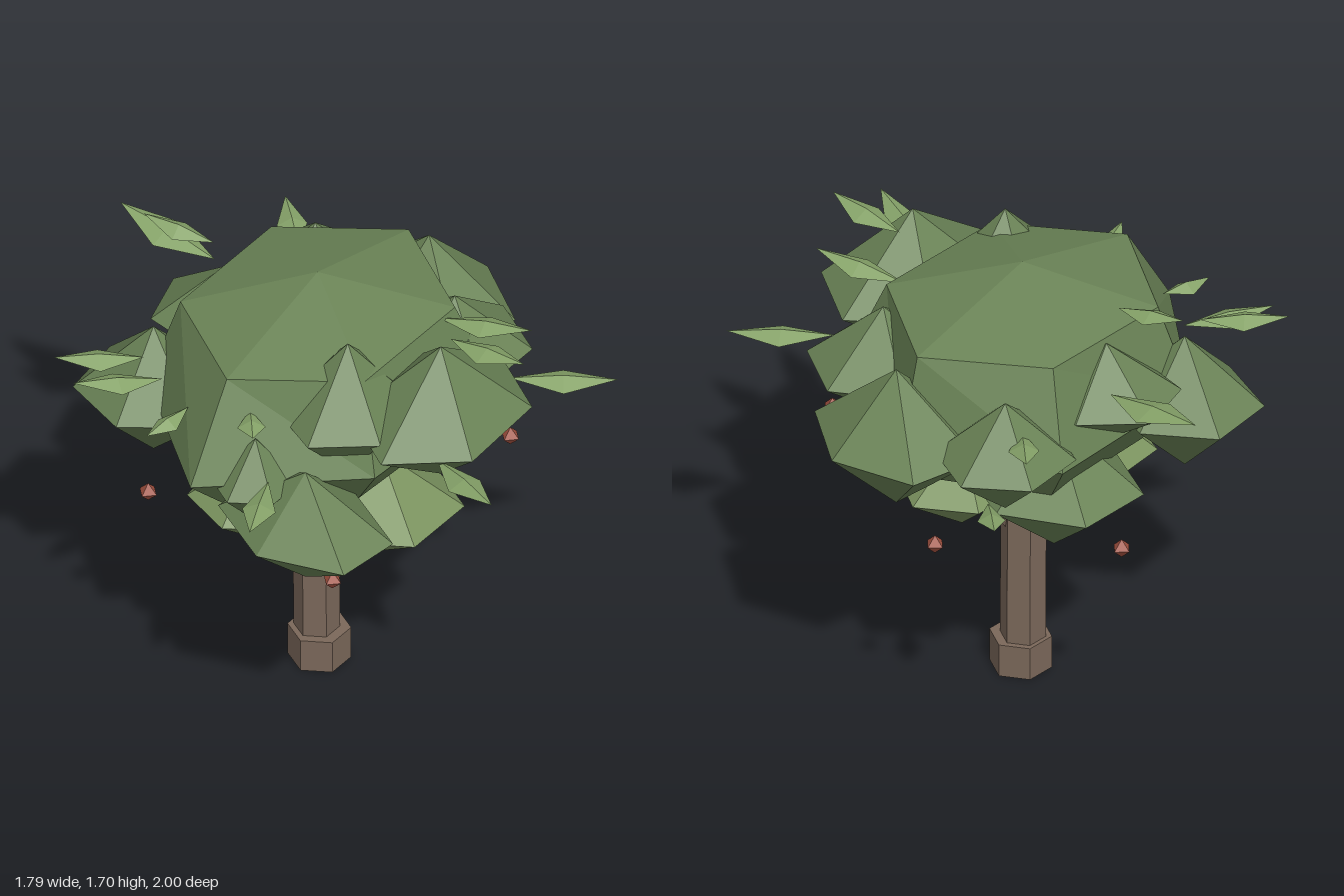
import * as THREE from 'three';

const mat = (color, extra = {}) => new THREE.MeshStandardMaterial({ color, flatShading: true, ...extra });
const V = (a) => new THREE.Vector3(...a);

export function createModel() {
  const tree = new THREE.Group();
  tree.name = 'tree';
  const bark = mat(0x7b685a);
  const foliage = mat(0x6a8356);
  const lightFoliage = mat(0x7b935f);
  const leafMat = mat(0x86a369, { side: THREE.DoubleSide });
  const fruitMat = mat(0xa0503f);

  const add = (name, geo, material, pos = [0, 0, 0], scale = [1, 1, 1], turn = 0) => {
    const m = new THREE.Mesh(geo, material);
    m.name = name;
    m.position.set(...pos);
    m.scale.set(...scale);
    m.rotation.y = turn;
    tree.add(m);
    return m;
  };

  // Hexagonal cylinder between two points
  const limb = (name, a, b, r0, r1) => {
    const from = V(a), dir = V(b).sub(from);
    const geo = new THREE.CylinderGeometry(r1, r0, dir.length(), 6);
    geo.rotateY(Math.PI / 6);
    const m = add(name, geo, bark, from.addScaledVector(dir, 0.5).toArray());
    m.quaternion.setFromUnitVectors(new THREE.Vector3(0, 1, 0), dir.normalize());
  };

  // Trunk, flared foot and branches
  limb('trunkBase', [0.018, 0, -0.035], [0.018, 0.13, -0.035], 0.113, 0.113);
  limb('trunk', [0.018, 0.12, -0.046], [0.018, 1.05, -0.05], 0.083, 0.083);
  [[-0.25, 0.83, -0.1], [0.22, 0.85, 0.05], [0.1, 0.88, -0.28], [-0.02, 0.85, 0.22]].forEach((end) =>
    limb('branch', [0.018, 0.58, -0.04], end, 0.045, 0.03));

  // Main crown: domed above, shallow below, uneven around its widest ring
  const crown = new THREE.SphereGeometry(1, 6, 4);
  const p = crown.attributes.position;
  const bulge = [0.99, 0.87, 0.93, 0.82, 0.93, 0.88];
  for (let i = 0; i < p.count; i++) {
    const y = p.getY(i);
    const k = y > 0.1 ? 1 : bulge[(i % 7) % 6];
    p.setXYZ(i, p.getX(i) * 0.77 * k, y * (y > 0 ? 0.49 : 0.3), p.getZ(i) * 0.655 * k);
  }
  add('crown', crown, foliage, [0.015, 1.2, -0.04]);

  // Faceted leaf clumps: centre, radii, turn
  const clump = new THREE.SphereGeometry(1, 6, 2);
  const addClumps = (material, list) =>
    list.forEach(([c, r, turn]) => add('leafClump', clump, material, c, r, turn));
  addClumps(foliage, [
    [[-0.03, 1.36, 0.53], [0.385, 0.28, 0.3], 0.05],
    [[-0.51, 1.04, 0.29], [0.255, 0.23, 0.35], -0.12],
    [[0.62, 1.225, 0.005], [0.28, 0.28, 0.345], -0.2],
    [[0.12, 0.93, -0.29], [0.3, 0.265, 0.34], 0],
    [[-0.31, 1.165, -0.52], [0.27, 0.27, 0.29], 0.12],
    [[0.48, 1.25, -0.39], [0.26, 0.22, 0.25], 0.1],
    [[0.37, 1.3, 0.3], [0.29, 0.22, 0.27], 0],
    [[-0.23, 1.38, 0.27], [0.28, 0.28, 0.25], 0.1],
    [[-0.55, 1.18, 0.1], [0.17, 0.18, 0.16], 0],
    [[0.02, 1.33, -0.45], [0.25, 0.2, 0.27], 0.3],
  ]);
  addClumps(lightFoliage, [
    [[0.005, 0.81, 0.24], [0.3, 0.22, 0.3], 0],
    [[0.22, 0.83, 0.06], [0.255, 0.185, 0.23], 0],
    [[-0.26, 0.83, -0.12], [0.22, 0.18, 0.24], 0.1],
  ]);

  // Folded diamond leaf from stem to tip
  const leaf = (a, b, width) => {
    const stem = V(a), tip = V(b), dir = tip.clone().sub(stem);
    const side = new THREE.Vector3(-dir.z, 0, dir.x).normalize().multiplyScalar(width / 2);
    const mid = stem.clone().addScaledVector(dir, 0.5);
    mid.y -= 0.015;
    const ridge = mid.clone();
    ridge.y += 0.03;
    const l = mid.clone().sub(side), r = mid.clone().add(side);
    const geo = new THREE.BufferGeometry().setFromPoints(
      [stem, ridge, l, l, ridge, tip, stem, r, ridge, r, tip, ridge]);
    geo.computeVertexNormals();
    add('leaf', geo, leafMat);
  };
  [
    [[0.14, 1.43, -0.58], [0.15, 1.49, -1.0], 0.17],
    [[-0.03, 1.66, -0.46], [-0.08, 1.7, -0.73], 0.11],
    [[0.45, 1.36, -0.44], [0.63, 1.39, -0.63], 0.11],
    [[0.58, 1.1, -0.4], [0.73, 1.13, -0.57], 0.1],
    [[-0.45, 1.41, -0.46], [-0.66, 1.43, -0.7], 0.13],
    [[-0.45, 1.35, -0.38], [-0.71, 1.4, -0.58], 0.13],
    [[-0.54, 1.36, -0.2], [-0.75, 1.345, -0.23], 0.09],
    [[-0.61, 1.25, 0.2], [-0.9, 1.26, 0.33], 0.12],
    [[-0.23, 1.32, 0.66], [-0.37, 1.355, 1.0], 0.13],
    [[0.07, 1.6, 0.5], [0.07, 1.63, 0.82], 0.13],
    [[0.22, 1.53, 0.34], [0.31, 1.57, 0.68], 0.13],
    [[0.35, 1.28, 0.55], [0.58, 1.27, 0.86], 0.14],
    [[-0.5, 1.43, 0.04], [-0.62, 1.42, 0.14], 0.1],
  ].forEach((args) => leaf(...args));

  // Small hanging fruit
  const fruit = new THREE.OctahedronGeometry(0.037);
  [
    [-0.555, 0.89, 0.44], [0.38, 1.0, 0.535], [0.64, 0.87, -0.2],
    [0.2, 0.86, -0.69], [-0.52, 0.89, -0.39],
  ].forEach((c) => add('fruit', fruit, fruitMat, c));

  return tree;
}
